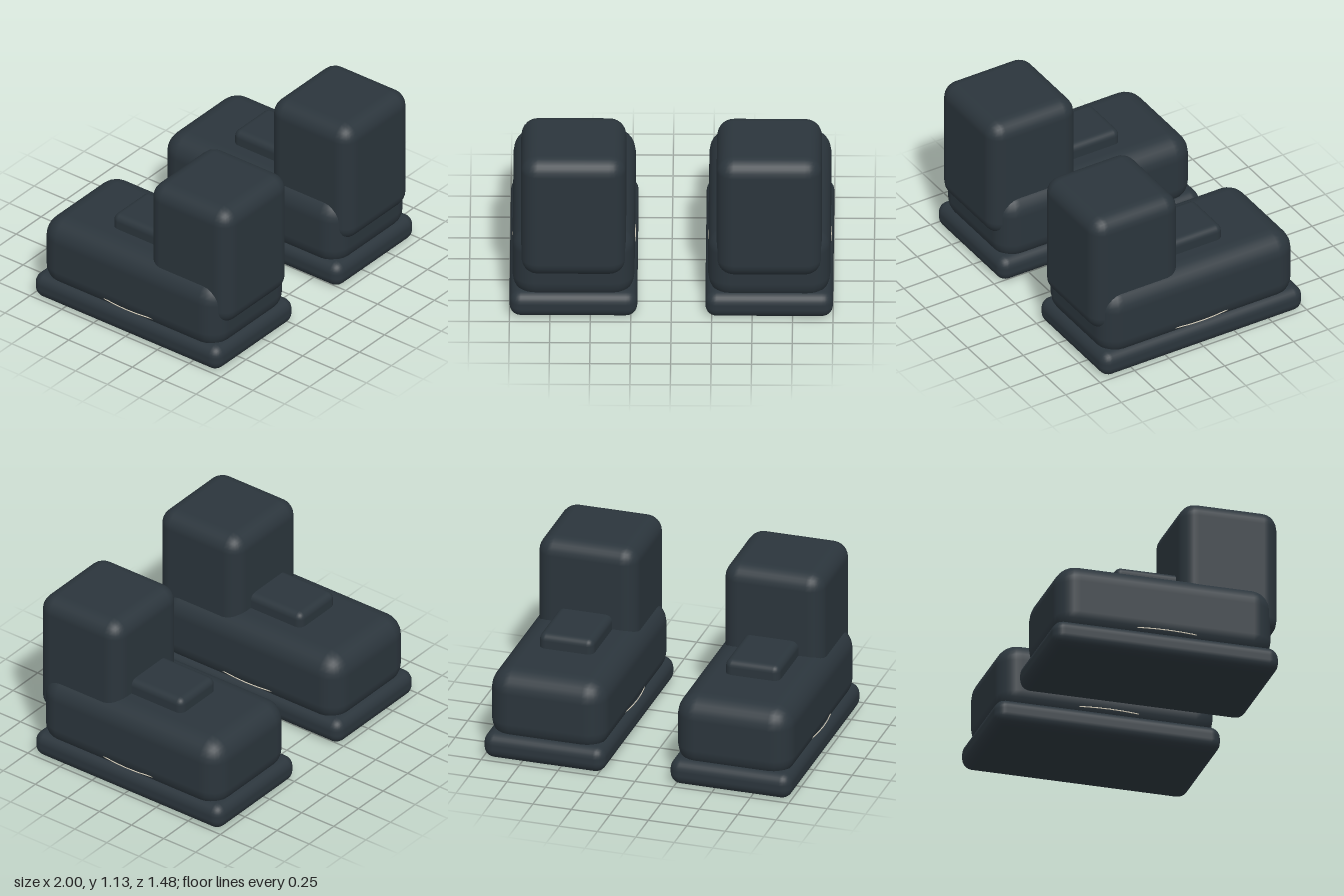
import * as THREE from 'three';
import { RoundedBoxGeometry } from 'three/addons/geometries/RoundedBoxGeometry.js';

const slate = new THREE.MeshStandardMaterial({ color: 0x2b353c });
slate.name = 'dark slate';
const cream = new THREE.MeshStandardMaterial({ color: 0xd8d0bc });
cream.name = 'cream stitching';

// Rounded block given by its width and its y and z extents
function block(name, width, y0, y1, z0, z1, radius, segments = 3) {
  const mesh = new THREE.Mesh(new RoundedBoxGeometry(width, y1 - y0, z1 - z0, segments, radius), slate);
  mesh.name = name;
  mesh.position.set(0, (y0 + y1) / 2, (z0 + z1) / 2);
  return mesh;
}

function createBoot(name, x) {
  const boot = new THREE.Group();
  boot.name = name;
  boot.position.x = x;
  boot.add(
    block('sole', 0.79, 0, 0.17, -0.74, 0.72, 0.07),
    block('bootBody', 0.755, 0.1, 0.585, -0.705, 0.695, 0.14),
    block('shaft', 0.65, 0.295, 1.13, 0.11, 0.74, 0.105),
    block('tongue', 0.355, 0.5, 0.68, -0.28, 0.3, 0.045),
  );

  // Thin welt seam that just breaks through the flanks of the body
  const seamPath = new THREE.TorusGeometry(1, 0.008, 6, 48).rotateX(Math.PI / 2).scale(0.38, 0.45, 0.655);
  const seam = new THREE.Mesh(seamPath, cream);
  seam.name = 'weltSeam';
  seam.position.set(0, 0.186, -0.005);
  boot.add(seam);
  return boot;
}

export function createModel() {
  const model = new THREE.Group();
  model.name = 'bootPair';
  model.add(createBoot('leftBoot', 0.605), createBoot('rightBoot', -0.605));
  return model;
}
